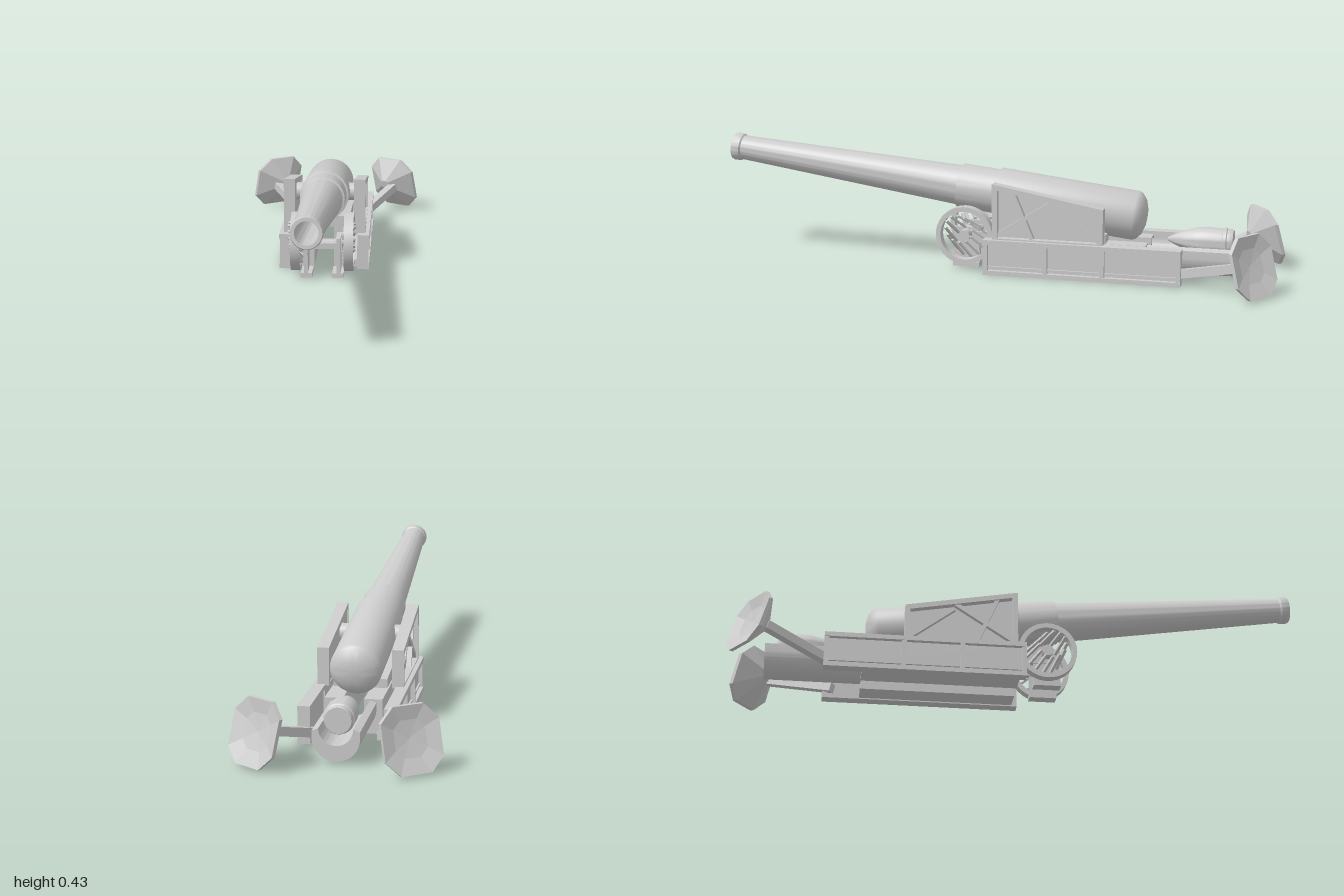
import * as THREE from 'three';
import { toCreasedNormals } from 'three/addons/utils/BufferGeometryUtils.js';

const grey = new THREE.MeshStandardMaterial({ color: 0xcccccc });
const flat = new THREE.MeshStandardMaterial({ color: 0xcccccc, flatShading: true });

function add(parent, name, geo, mat = grey) {
  const m = new THREE.Mesh(geo, mat);
  m.name = name;
  parent.add(m);
  return m;
}

// box from its limits, with x mirrored by s
function box(parent, name, s, x0, x1, y0, y1, z0, z1) {
  const m = add(parent, name, new THREE.BoxGeometry(x1 - x0, y1 - y0, Math.abs(z1 - z0)));
  m.position.set(s * (x0 + x1) / 2, (y0 + y1) / 2, (z0 + z1) / 2);
  return m;
}

// square bar between two points
function strut(parent, name, a, b, w, h) {
  const p = new THREE.Vector3(...a), q = new THREE.Vector3(...b);
  const m = add(parent, name, new THREE.BoxGeometry(w, h, p.distanceTo(q)));
  m.position.copy(p).lerp(q, 0.5);
  m.lookAt(q);
  return m;
}

function lathe(parent, name, pts, seg = 40) {
  const geo = new THREE.LatheGeometry(pts.map(p => new THREE.Vector2(...p)), seg);
  return add(parent, name, toCreasedNormals(geo, 0.5));
}

// shape given as (-z, y) points, extruded along x between x0 and x1
function sidePlate(parent, name, s, shape, x0, x1) {
  const m = add(parent, name, new THREE.ExtrudeGeometry(shape, { depth: x1 - x0, bevelEnabled: false }));
  m.rotation.y = Math.PI / 2;
  m.position.x = s > 0 ? x0 : -x1;
}
const poly = pts => new THREE.Shape(pts.map(p => new THREE.Vector2(...p)));

function makeWheel(parent, s) {
  const g = new THREE.Group();
  g.name = 'wheel';
  g.position.set(s * 0.0925, 0.123, 0.1);
  parent.add(g);
  const w = 0.0165;
  const rim = lathe(g, 'wheelRim',
    [[0.086, -w], [0.103, -w], [0.103, w], [0.086, w], [0.086, -w]], 36);
  rim.rotation.z = Math.PI / 2;
  const hub = add(g, 'wheelHub', new THREE.CylinderGeometry(0.02, 0.02, 0.036, 16));
  hub.rotation.z = Math.PI / 2;
  for (let i = 0; i < 12; i++) {
    const a = i * Math.PI / 6, c = Math.cos(a), d = Math.sin(a);
    strut(g, 'wheelSpoke', [0, c * 0.015, d * 0.015], [0, c * 0.09, d * 0.09], 0.012, 0.007);
  }
}

// octagonal dished plate rising to a blunt point at the arm
function spadeGeometry() {
  const out = [[0.098, -0.055], [0.098, 0.055], [0.052, 0.1], [-0.052, 0.1],
    [-0.098, 0.055], [-0.098, -0.055], [-0.052, -0.1], [0.052, -0.1]];
  const rings = [[0.01, 0.02], [0.55, 0.014], [1, 0], [1, 0.014], [0.15, 0.075], [0.01, 0.075]];
  const pos = [], idx = [];
  rings.forEach(([k, z], r) => out.forEach(([x, y], i) => {
    pos.push(x * k, y * k, z + y * k * 0.3);
    if (r === rings.length - 1) return;
    const j = (i + 1) % 8, a = r * 8 + i, b = r * 8 + j;
    idx.push(a, b, b + 8, a, b + 8, a + 8);
  }));
  const geo = new THREE.BufferGeometry();
  geo.setAttribute('position', new THREE.Float32BufferAttribute(pos, 3));
  geo.setIndex(idx);
  geo.computeVertexNormals();
  return geo;
}

function makeSide(root, s) {
  const g = new THREE.Group();
  g.name = s > 0 ? 'leftSide' : 'rightSide';
  root.add(g);

  // lower girder: recessed web, rails and posts
  box(g, 'girderWeb', s, 0.124, 0.143, 0.01, 0.115, -0.66, 0.01);
  box(g, 'girderBottomRail', s, 0.118, 0.16, 0, 0.016, -0.67, 0.02);
  box(g, 'girderTopRail', s, 0.118, 0.16, 0.109, 0.125, -0.67, 0.02);
  for (const z of [0.012, -0.2, -0.4, -0.662])
    box(g, 'girderPost', s, 0.118, 0.158, 0.01, 0.115, z - 0.008, z + 0.008);
  box(g, 'girderMiddleRail', s, 0.14, 0.15, 0.024, 0.03, -0.66, 0.01);

  // upper side frame: open trapezoid, web and diagonal braces
  const frame = poly([[0.01, 0.12], [0.4, 0.12], [0.4, 0.25], [0.01, 0.32]]);
  frame.holes.push(poly([[0.028, 0.13], [0.028, 0.299], [0.382, 0.235], [0.382, 0.13]]));
  sidePlate(g, 'upperFrame', s, frame, 0.105, 0.145);
  sidePlate(g, 'upperWeb', s, poly([[0.02, 0.12], [0.39, 0.12], [0.39, 0.245], [0.02, 0.31]]), 0.108, 0.12);
  const X = s * 0.128;
  strut(g, 'brace', [X, 0.135, -0.02], [X, 0.27, -0.23], 0.02, 0.014);
  strut(g, 'brace', [X, 0.295, -0.08], [X, 0.13, -0.15], 0.02, 0.014);
  strut(g, 'brace', [X, 0.25, -0.23], [X, 0.13, -0.39], 0.02, 0.014);

  // inner chassis beam with saddle under the barrel
  box(g, 'chassisBeam', s, 0.035, 0.095, 0.004, 0.12, -0.54, 0);
  box(g, 'chassisFloor', s, 0.09, 0.12, 0.004, 0.03, -0.54, 0);
  sidePlate(g, 'saddle', s, poly([[0, 0.11], [0.4, 0.11], [0.4, 0.15], [0, 0.19]]), 0.035, 0.09);
  const trunnion = add(g, 'trunnion', new THREE.CylinderGeometry(0.032, 0.032, 0.04, 20));
  trunnion.rotation.z = Math.PI / 2;
  trunnion.position.set(s * 0.092, 0.245, -0.15);

  // front bogie bracket and wheel
  box(g, 'axleBracket', s, 0.05, 0.064, 0.005, 0.145, 0.055, 0.15);
  box(g, 'bracketFoot', s, 0.035, 0.075, 0.004, 0.02, 0.055, 0.15);
  box(g, 'bogieLink', s, 0.045, 0.068, 0.09, 0.13, -0.01, 0.12);
  makeWheel(g, s);

  // trail arm and ground spade
  strut(g, 'trailArm', [s * 0.105, 0.03, -0.635], [s * 0.235, 0.1, -0.865], 0.03, 0.03);
  const spade = add(g, 'spade', spadeGeometry(), flat);
  spade.position.set(s * 0.243, 0.11, -0.926);
  spade.rotation.y = -s * 0.607;
}

export function createModel() {
  const root = new THREE.Group();
  root.name = 'siegeGun';

  // barrel: domed breech, stepped sleeve, taper, muzzle ring and bore
  const barrel = lathe(root, 'barrel', [
    [0, 0], [0.035, 0.004], [0.062, 0.013], [0.08, 0.028], [0.086, 0.04],
    [0.086, 0.534], [0.079, 0.536], [0.078, 0.675], [0.071, 0.677],
    [0.044, 1.505], [0.049, 1.51], [0.05, 1.532], [0.047, 1.54], [0.036, 1.54],
    [0.036, 1.0], [0, 1.0],
  ], 48);
  barrel.rotation.x = Math.PI / 2 - 0.1194;
  barrel.position.set(0, 0.201, -0.53);

  // loading tray: crescent trough
  const tray = new THREE.Shape();
  tray.moveTo(-0.075, 0.108);
  tray.lineTo(-0.075, 0.087);
  tray.absarc(0, 0.087, 0.075, Math.PI, Math.PI * 2, false);
  tray.lineTo(0.075, 0.108);
  tray.lineTo(0.054, 0.116);
  tray.absarc(0, 0.116, 0.054, Math.PI * 2, Math.PI, true);
  const trayMesh = add(root, 'loadingTray', toCreasedNormals(
    new THREE.ExtrudeGeometry(tray, { depth: 0.33, bevelEnabled: false, curveSegments: 20 }), 0.5));
  trayMesh.position.z = -0.87;

  // shell resting in the tray
  const shell = lathe(root, 'shell', [
    [0, 0], [0.042, 0], [0.045, 0.006], [0.045, 0.02], [0.049, 0.023], [0.049, 0.034],
    [0.046, 0.037], [0.049, 0.09], [0.046, 0.12], [0.036, 0.16], [0.02, 0.2], [0.006, 0.226], [0, 0.23],
  ], 32);
  shell.rotation.x = Math.PI / 2;
  shell.position.set(0, 0.13, -0.83);

  // front axle
  box(root, 'axleBeam', 1, -0.052, 0.052, 0.105, 0.125, 0.07, 0.14);
  const axle = add(root, 'axle', new THREE.CylinderGeometry(0.01, 0.01, 0.2, 12));
  axle.rotation.z = Math.PI / 2;
  axle.position.set(0, 0.118, 0.1);

  for (const s of [1, -1]) makeSide(root, s);
  return root;
}
